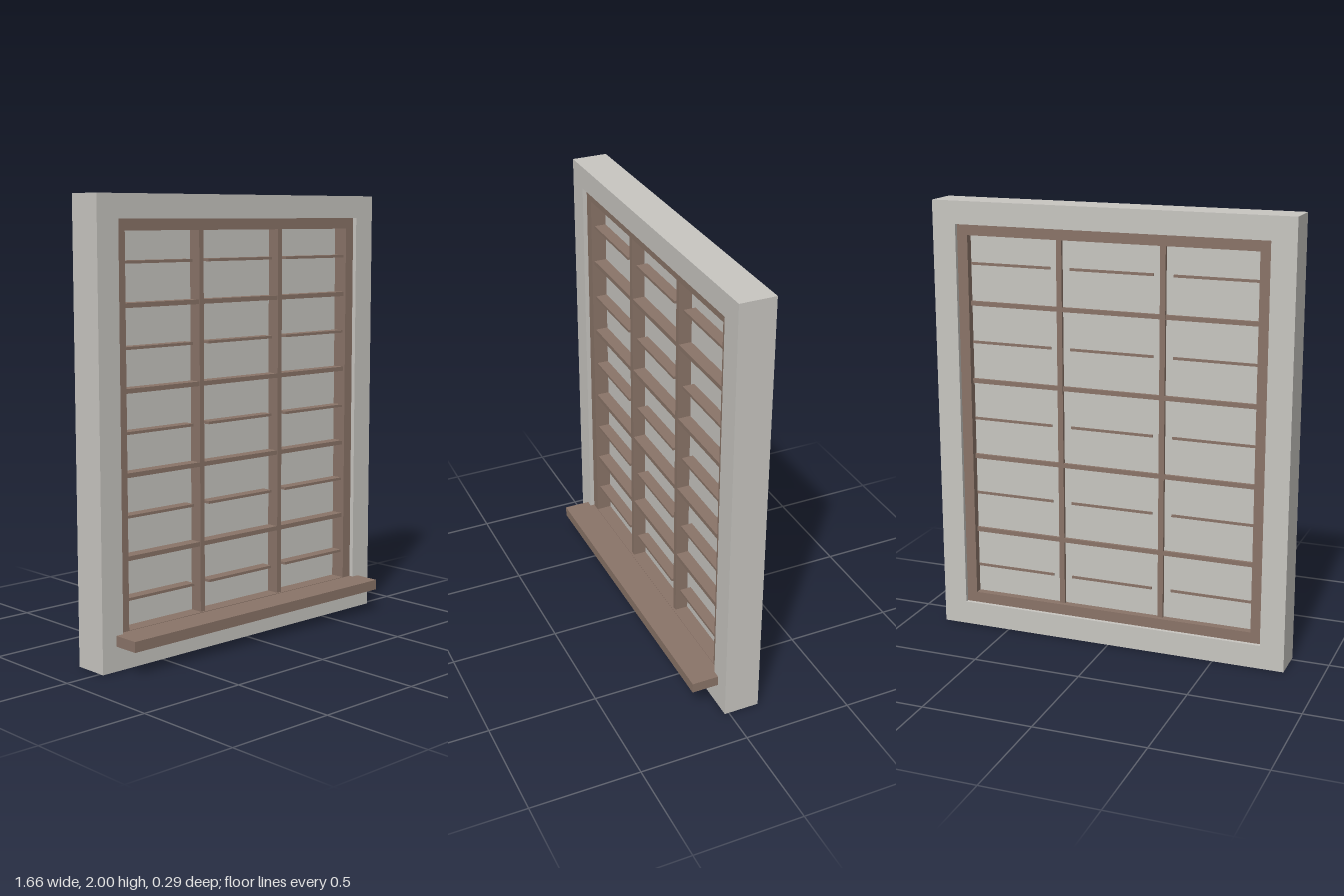
import * as THREE from 'three';

export function createModel() {
  const model = new THREE.Group();
  const plaster = new THREE.MeshStandardMaterial({ color: 0xc8c6c1 });
  plaster.name = 'pale grey plaster';
  const wood = new THREE.MeshStandardMaterial({ color: 0x8a7468 });
  wood.name = 'brown wood';

  const add = (name, geometry, material) => {
    const mesh = new THREE.Mesh(geometry, material);
    mesh.name = name;
    model.add(mesh);
    return mesh;
  };

  // box given by its x, y and z limits
  const box = (name, material, x0, x1, y0, y1, z0, z1) =>
    add(name, new THREE.BoxGeometry(x1 - x0, y1 - y0, z1 - z0), material)
      .position.set((x0 + x1) / 2, (y0 + y1) / 2, (z0 + z1) / 2);

  // rectangular ring extruded from z0 to z1; limits are [halfWidth, bottom, top]
  const rect = (Type, [w, y0, y1]) => new Type([
    new THREE.Vector2(-w, y0), new THREE.Vector2(w, y0),
    new THREE.Vector2(w, y1), new THREE.Vector2(-w, y1),
  ]);
  const ring = (name, material, outer, inner, z0, z1) => {
    const shape = rect(THREE.Shape, outer);
    shape.holes.push(rect(THREE.Path, inner));
    const geometry = new THREE.ExtrudeGeometry(shape, { depth: z1 - z0, bevelEnabled: false });
    add(name, geometry, material).position.z = z0;
  };

  const halfW = 0.718, bottom = 0.109, top = 1.897, border = 0.049;
  const opening = [halfW, bottom, top];
  const inner = [halfW - border, bottom + border, top - border];

  // wall surround, window frame and closed pane
  ring('wall', plaster, [0.828, 0, 2], opening, -0.143, 0.02);
  ring('windowFrame', wood, opening, inner, -0.125, 0);
  box('pane', plaster, -0.69, 0.69, bottom + 0.03, top - 0.03, -0.09, -0.07);

  // sill projecting in front
  box('sill', wood, -0.754, 0.754, bottom, bottom + 0.047, 0, 0.143);

  // grid of mullions and crossbars
  const cols = 3, rows = 5;
  const cellW = (2 * halfW) / cols, cellH = (top - bottom) / rows;
  for (let c = 1; c < cols; c++) {
    const x = -halfW + c * cellW;
    box('mullion', wood, x - 0.0125, x + 0.0125, inner[1], inner[2], -0.105, -0.01);
  }
  for (let r = 1; r < rows; r++) {
    const y = bottom + r * cellH;
    box('crossbar', wood, -inner[0], inner[0], y - 0.01, y + 0.01, -0.104, -0.012);
  }

  // one short slat through the middle of each cell
  for (let c = 0; c < cols; c++) {
    for (let r = 0; r < rows; r++) {
      const x = -halfW + (c + 0.5) * cellW, y = bottom + (r + 0.5) * cellH;
      box('slat', wood, x - 0.194, x + 0.194, y - 0.006, y + 0.006, -0.094, -0.016);
    }
  }
  return model;
}
